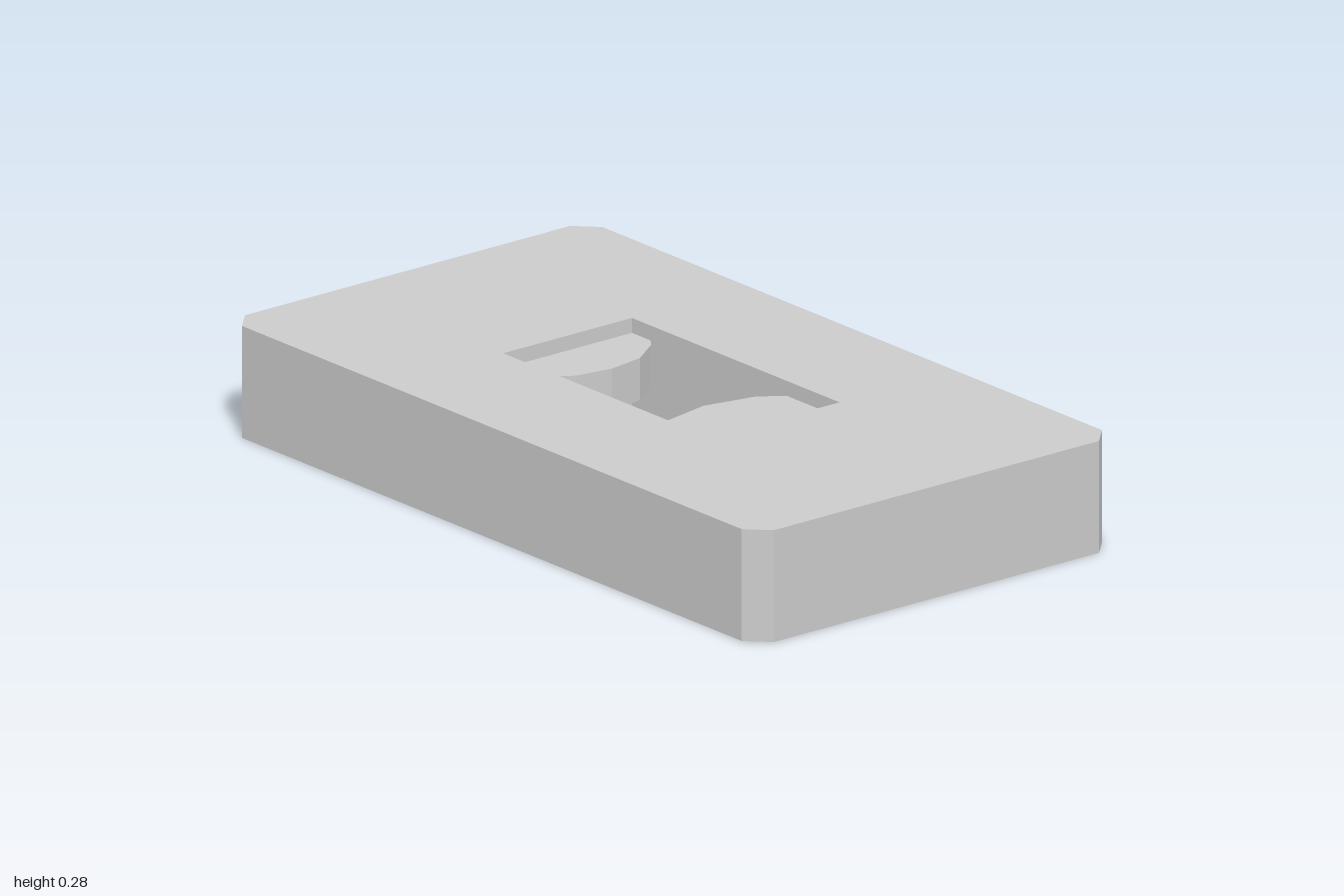
import * as THREE from 'three';
import { mergeGeometries } from 'three/addons/utils/BufferGeometryUtils.js';

const HEIGHT = 0.285, FLOOR = 0.04;
const LIP_BOTTOM = 0.14, LIP_TOP = 0.247;
const HALF_X = 1, HALF_Z = 0.56, CHAMFER = 0.055;
const SLOT_LEFT = 0.39, SLOT_RIGHT = -0.395, SLOT_Z = 0.2;

const material = new THREE.MeshStandardMaterial({ color: 0xcccccc, flatShading: true });
const toShape = (points) => new THREE.Shape(points.map(([x, z]) => new THREE.Vector2(x, z)));

// Horizontal plate facing up or down
function plate(shape, y, up = true) {
  return new THREE.ShapeGeometry(shape).rotateX(up ? -Math.PI / 2 : Math.PI / 2).translate(0, y, 0).toNonIndexed();
}

// Vertical walls along a closed plan outline; counter-clockwise faces outwards
function walls(points, y0, y1) {
  const sides = points.map(([x, z], i) => {
    const [nx, nz] = points[(i + 1) % points.length];
    const length = Math.hypot(nx - x, nz - z);
    return new THREE.PlaneGeometry(length, y1 - y0)
      .rotateY(Math.atan2(nz - z, nx - x))
      .translate((x + nx) / 2, (y0 + y1) / 2, -(z + nz) / 2)
      .toNonIndexed();
  });
  return mergeGeometries(sides);
}

export function createModel() {
  const group = new THREE.Group();
  const add = (name, geometry) => {
    const mesh = new THREE.Mesh(geometry, material);
    mesh.name = name;
    group.add(mesh);
  };

  // Block with chamfered corners and a rectangular pocket
  const cx = HALF_X - CHAMFER, cz = HALF_Z - CHAMFER;
  const outline = [
    [cx, -HALF_Z], [HALF_X, -cz], [HALF_X, cz], [cx, HALF_Z],
    [-cx, HALF_Z], [-HALF_X, cz], [-HALF_X, -cz], [-cx, -HALF_Z],
  ];
  const slot = [
    [SLOT_RIGHT, -SLOT_Z], [SLOT_LEFT, -SLOT_Z],
    [SLOT_LEFT, SLOT_Z], [SLOT_RIGHT, SLOT_Z],
  ];
  const top = toShape(outline);
  top.holes.push(toShape(slot));
  add('block', mergeGeometries([
    plate(top, HEIGHT),
    plate(toShape(outline), 0, false),
    walls(outline, 0, HEIGHT),
    walls([...slot].reverse(), FLOOR, HEIGHT),
    plate(toShape(slot), FLOOR),
  ]));

  // Curved lips overhanging both ends of the pocket
  const addLip = (name, endX, halfCurve) => {
    const mirrored = halfCurve.filter(([, z]) => z > 0).reverse().map(([x, z]) => [x, -z]);
    const plan = [[endX, SLOT_Z], ...halfCurve, ...mirrored, [endX, -SLOT_Z]];
    const geometry = new THREE.ExtrudeGeometry(toShape(plan), { depth: LIP_TOP - LIP_BOTTOM, bevelEnabled: false });
    add(name, geometry.rotateX(-Math.PI / 2).translate(0, LIP_BOTTOM, 0));
  };
  addLip('rightLip', SLOT_RIGHT, [[-0.325, SLOT_Z], [-0.3, 0.182], [-0.243, 0.1], [-0.227, 0]]);
  addLip('leftLip', SLOT_LEFT, [[0.19, SLOT_Z], [0.147, 0.138], [0.119, 0]]);

  return group;
}
